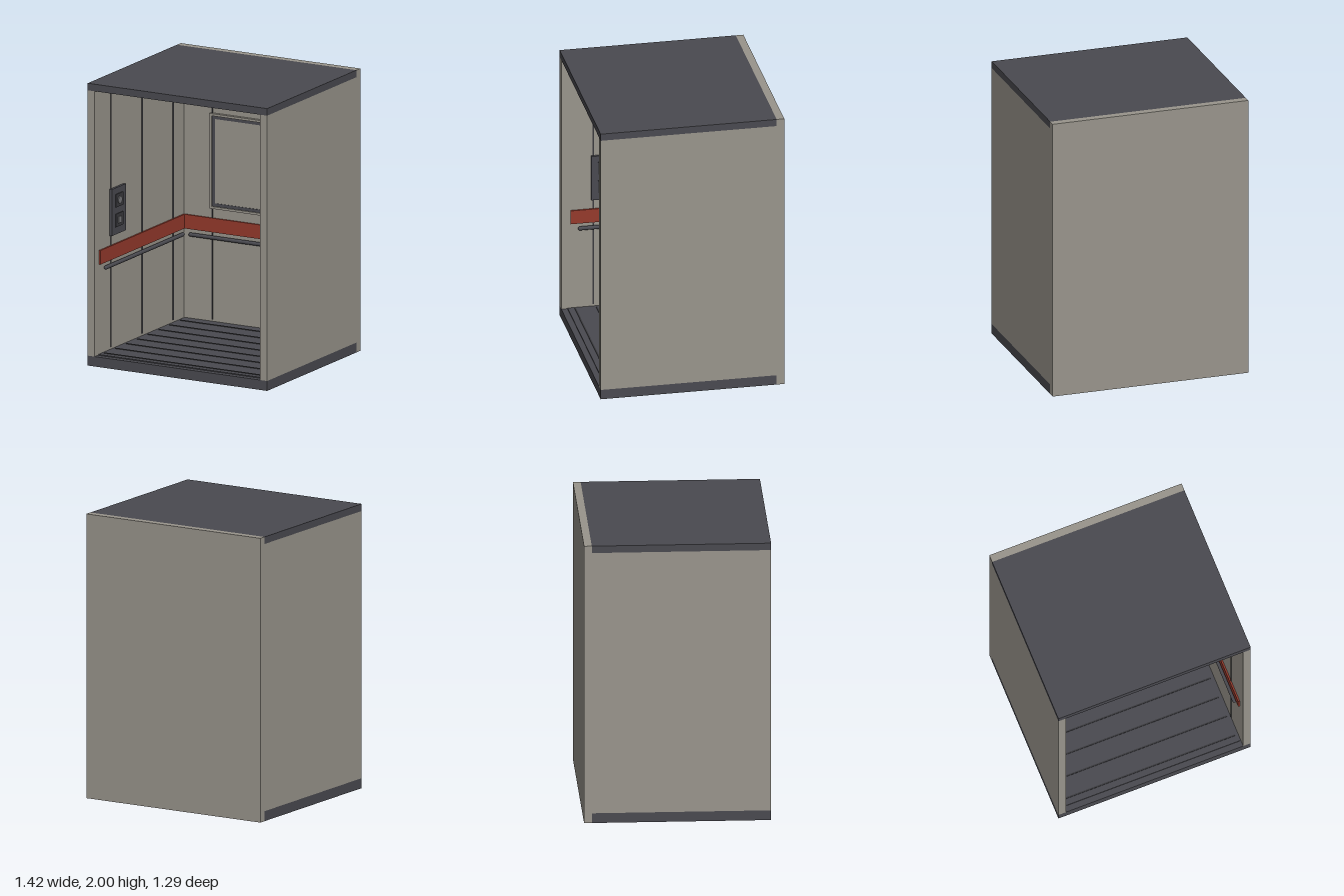
import * as THREE from 'three';

export function createModel() {
  const model = new THREE.Group();
  model.name = 'liftCabin';

  const material = (name, color, side = THREE.FrontSide) => {
    const m = new THREE.MeshStandardMaterial({ color, side });
    m.name = name;
    return m;
  };
  const steel = material('warm grey steel', 0x99958c);
  const dark = material('dark grey', 0x4a4a50);
  const seam = material('seam grey', 0x3a3a3e);
  const red = material('bumper red', 0x953a2c);
  const lamp = material('lamp cream', 0xe6e0cc);
  const button = material('button grey', 0x77777a);

  const add = (name, geometry, mat, x, y, z, parent = model) => {
    const mesh = new THREE.Mesh(geometry, mat);
    mesh.name = name;
    mesh.position.set(x, y, z);
    parent.add(mesh);
    return mesh;
  };
  // Box given by its lower and upper corners
  const box = (name, mat, [x0, y0, z0], [x1, y1, z1], parent) =>
    add(name, new THREE.BoxGeometry(x1 - x0, y1 - y0, z1 - z0), mat,
      (x0 + x1) / 2, (y0 + y1) / 2, (z0 + z1) / 2, parent);

  const W = 0.71, IN = 0.655, FRONT = 0.643, BACK = -0.643, INB = -0.59;

  // Shell
  box('floorSlab', dark, [-W, 0, INB], [W, 0.07, FRONT]);
  box('ceilingSlab', dark, [-W, 1.95, INB], [W, 2, FRONT]);
  box('backWall', steel, [-W, 0, BACK], [W, 2, INB]);
  for (const s of [-1, 1]) {
    box('sideWall', steel, s < 0 ? [-W, 0.07, INB] : [IN, 0.07, INB],
      s < 0 ? [-IN, 1.95, FRONT] : [W, 1.95, FRONT]);
  }

  // Floor covering with cross ribs
  box('floorCovering', dark, [-0.65, 0.07, INB], [0.65, 0.077, 0.6]);
  for (let i = 0; i < 8; i++) {
    const z = -0.5 + i * 0.15;
    box('floorRib', seam, [-0.63, 0.077, z - 0.005], [0.63, 0.081, z + 0.005]);
  }

  // Wall panel seams
  for (const x of [-0.43, 0, 0.43]) {
    box('backSeam', seam, [x - 0.005, 0.09, INB], [x + 0.005, 1.92, INB + 0.004]);
  }
  for (const s of [-1, 1]) {
    for (const z of [0.42, -0.01, -0.44]) {
      add('sideSeam', new THREE.BoxGeometry(0.004, 1.83, 0.01), seam, s * (IN - 0.002), 1.005, z);
    }
  }

  // Mirror: a frame with a hole, a dark border and the pane
  const rect = (Type, w, h) => {
    const p = new Type();
    p.moveTo(-w, -h);
    p.lineTo(w, -h);
    p.lineTo(w, h);
    p.lineTo(-w, h);
    p.closePath();
    return p;
  };
  const ring = (w, h, t, depth) => {
    const shape = rect(THREE.Shape, w, h);
    shape.holes.push(rect(THREE.Path, w - t, h - t));
    return new THREE.ExtrudeGeometry(shape, { depth, bevelEnabled: false });
  };
  const mirror = new THREE.Group();
  mirror.name = 'mirror';
  mirror.position.set(0, 1.217, INB);
  model.add(mirror);
  add('mirrorFrame', ring(0.44, 0.337, 0.016, 0.024), steel, 0, 0, 0, mirror);
  add('mirrorBorder', ring(0.424, 0.321, 0.022, 0.014), dark, 0, 0, 0, mirror);
  add('mirrorPane', new THREE.BoxGeometry(0.806, 0.6, 0.01), steel, 0, 0, 0.005, mirror);

  // Red bumper strips
  box('backBumper', red, [-0.645, 0.71, INB], [0.645, 0.81, INB + 0.012]);
  for (const s of [-1, 1]) {
    add('sideBumper', new THREE.BoxGeometry(0.012, 0.1, 1.17), red, s * (IN - 0.006), 0.76, -0.005);
  }

  // Handrails
  const rail = (name, length, x, z) =>
    add(name, new THREE.CapsuleGeometry(0.014, length - 0.028, 4, 12), dark, x, 0.675, z);
  rail('backHandrail', 1.21, 0, INB + 0.02).rotation.z = Math.PI / 2;
  for (const s of [-1, 1]) {
    rail('sideHandrail', 1.09, s * 0.639, -0.015).rotation.x = Math.PI / 2;
  }

  // Control panel on the right wall
  const panel = new THREE.Group();
  panel.name = 'controlPanel';
  panel.position.set(-IN, 1.045, 0.34);
  model.add(panel);
  box('panelPlate', dark, [0, -0.165, -0.095], [0.018, 0.165, 0.095], panel);
  for (const y of [-0.066, 0.074]) {
    box('buttonHousing', seam, [0.018, y - 0.046, -0.05], [0.024, y + 0.046, 0.05], panel);
  }
  const knob = new THREE.CylinderGeometry(0.026, 0.026, 0.008, 20).rotateZ(Math.PI / 2);
  add('roundButton', knob, button, 0.027, 0.074, 0, panel);
  add('squareButton', new THREE.BoxGeometry(0.008, 0.045, 0.045), button, 0.027, -0.066, 0, panel);

  // Ceiling light
  box('lightFrame', dark, [-0.39, 1.937, -0.3], [0.39, 1.95, 0.35]);
  box('lightDiffuser', lamp, [-0.36, 1.93, -0.27], [0.36, 1.937, 0.32]);

  return model;
}
